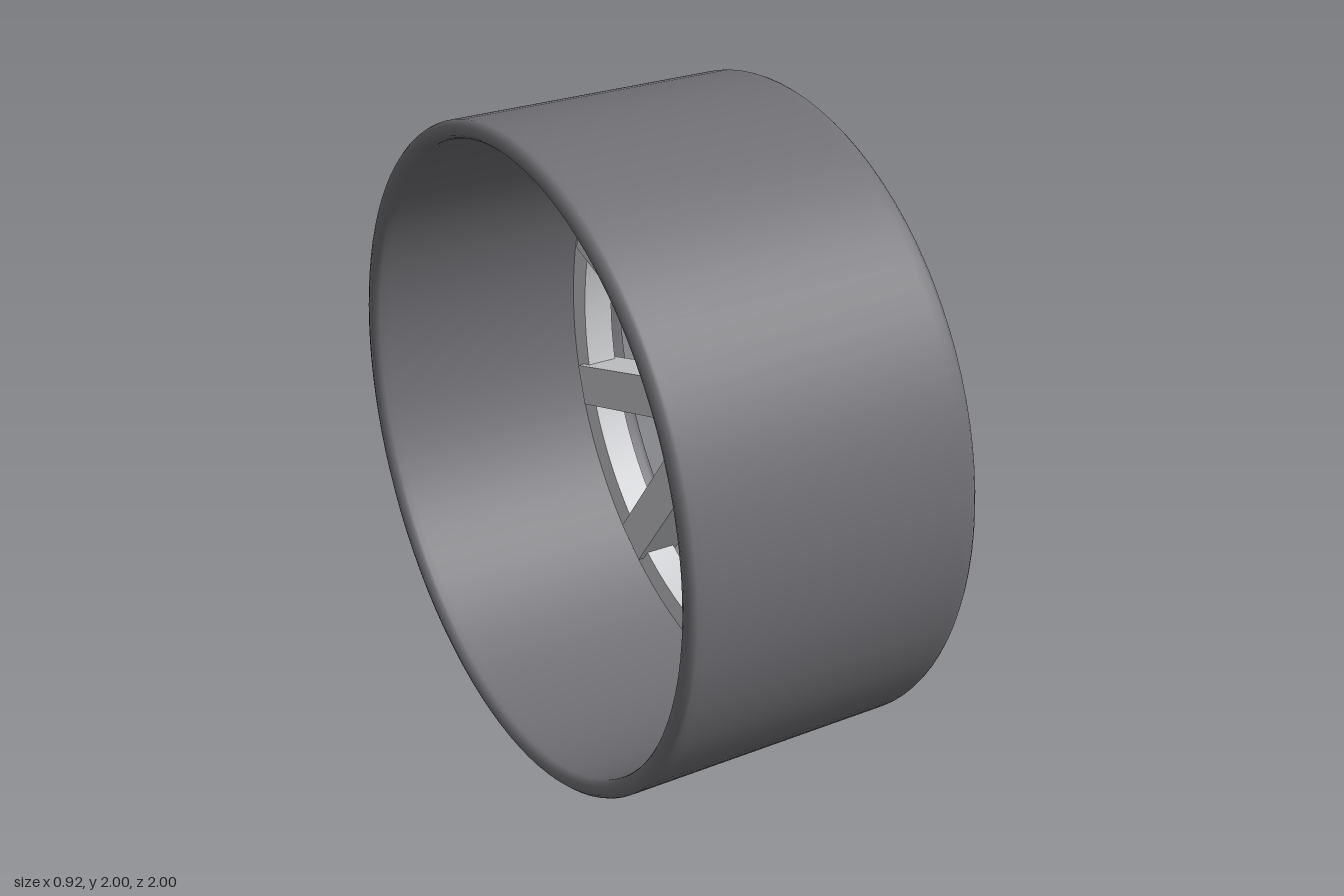
import * as THREE from 'three';
import { toCreasedNormals } from 'three/addons/utils/BufferGeometryUtils.js';

export function createModel() {
  const mat = (name, color) => {
    const m = new THREE.MeshStandardMaterial({ color });
    m.name = name;
    return m;
  };
  const rubber = mat('dark grey rubber', 0x717075);
  const alloy = mat('light grey alloy', 0xcccdd0);
  const cap = mat('mid grey hub', 0x9a9a9c);

  // The wheel is centred on its axle, which runs along x
  const wheel = new THREE.Group();
  wheel.name = 'wheel';
  wheel.position.y = 1;
  const add = (parent, name, geometry, material) => {
    const mesh = new THREE.Mesh(geometry, material);
    mesh.name = name;
    parent.add(mesh);
    return mesh;
  };

  // Tyre: thin sleeve with rounded lips, profile as [radius, x] for the +x lip
  const lip = [[1, 0.41], [1, 0.435], [0.996, 0.445], [0.986, 0.456], [0.972, 0.46],
    [0.958, 0.456], [0.949, 0.445], [0.945, 0.435], [0.945, 0.41]];
  const mirrored = lip.map(([r, x]) => [r, -x]).reverse();
  const profile = [[0.945, 0], ...mirrored, ...lip, [0.945, 0]]
    .map(([r, x]) => new THREE.Vector2(r, x));
  add(wheel, 'tyre', new THREE.LatheGeometry(profile, 96).rotateZ(-Math.PI / 2), rubber);

  // Rim ring, set towards the +x side
  const ring = new THREE.Shape().absarc(0, 0, 0.95, 0, Math.PI * 2, false);
  ring.holes.push(new THREE.Path().absarc(0, 0, 0.865, 0, Math.PI * 2, true));
  const ringGeo = new THREE.ExtrudeGeometry(ring, { depth: 0.1, bevelEnabled: false, curveSegments: 48 });
  ringGeo.translate(0, 0, 0.27).rotateY(Math.PI / 2);
  add(wheel, 'rimRing', toCreasedNormals(ringGeo, Math.PI / 6), alloy);

  // Ten square spokes, slightly thicker than the ring
  const spokes = new THREE.Group();
  spokes.name = 'spokes';
  const spokeGeo = new THREE.BoxGeometry(0.14, 0.705, 0.135).translate(0.32, 0.5525, 0);
  for (let i = 0; i < 10; i++) {
    add(spokes, 'spoke' + (i + 1), spokeGeo, alloy).rotation.x = (i * Math.PI) / 5;
  }
  wheel.add(spokes);

  // Hub drum
  const hubGeo = new THREE.CylinderGeometry(0.318, 0.318, 0.23, 64).rotateZ(-Math.PI / 2);
  add(wheel, 'hub', hubGeo, cap).position.x = 0.32;

  const model = new THREE.Group();
  model.name = 'spokedWheel';
  model.add(wheel);
  return model;
}
